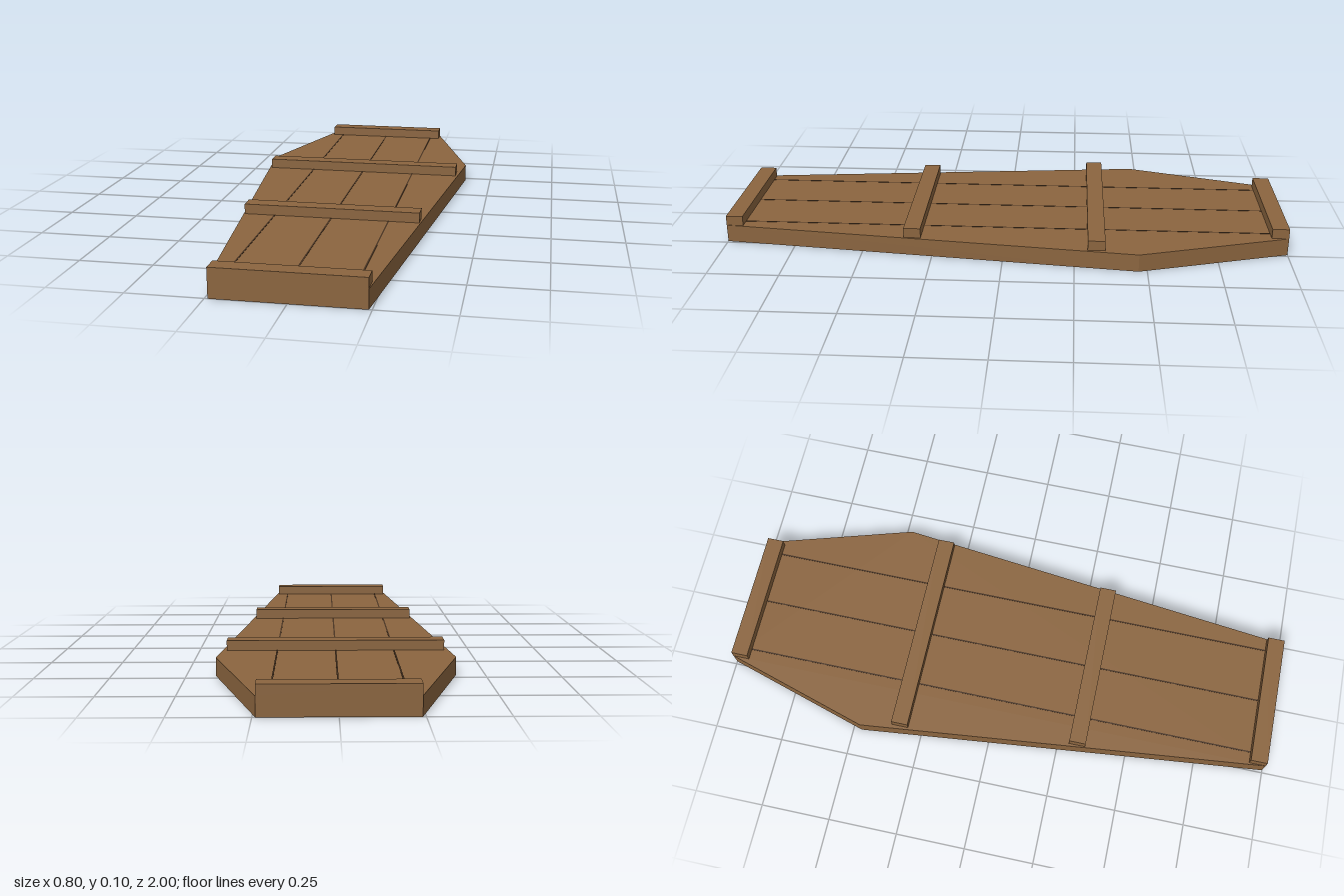
import * as THREE from 'three';

export function createModel() {
  const lid = new THREE.Group();
  lid.name = 'woodenLid';
  const wood = new THREE.MeshStandardMaterial({ color: 0x8b653f, flatShading: true });
  const seamWood = new THREE.MeshStandardMaterial({ color: 0x4a3422, flatShading: true });

  const slabHeight = 0.063, battenHeight = 0.035, battenDepth = 0.06;
  const endHalf = 0.24, shoulderHalf = 0.4, shoulderZ = -0.47;

  const addBox = (name, material, size, position) => {
    const mesh = new THREE.Mesh(new THREE.BoxGeometry(...size), material);
    mesh.name = name;
    mesh.position.set(...position);
    lid.add(mesh);
  };

  // Six-sided board, drawn with shape y = -z and laid flat
  const outline = new THREE.Shape([
    [-endHalf, -1], [endHalf, -1], [shoulderHalf, -shoulderZ],
    [endHalf, 1], [-endHalf, 1], [-shoulderHalf, -shoulderZ],
  ].map(([x, y]) => new THREE.Vector2(x, y)));
  const slabGeometry = new THREE.ExtrudeGeometry(outline, { depth: slabHeight, bevelEnabled: false });
  slabGeometry.rotateX(-Math.PI / 2);
  const slab = new THREE.Mesh(slabGeometry, wood);
  slab.name = 'board';
  lid.add(slab);

  // Thin dark seams between the planks
  for (const x of [-0.2, 0, 0.2]) {
    addBox('plankSeam', seamWood, [0.005, 0.002, 1.96], [x, slabHeight, 0]);
  }

  // Cross battens: centre z and half width
  for (const [z, half] of [[-0.97, endHalf], [-0.325, 0.373], [0.32, 0.307], [0.97, endHalf]]) {
    addBox('crossBatten', wood, [half * 2, battenHeight, battenDepth],
      [0, slabHeight + battenHeight / 2, z]);
  }
  return lid;
}
